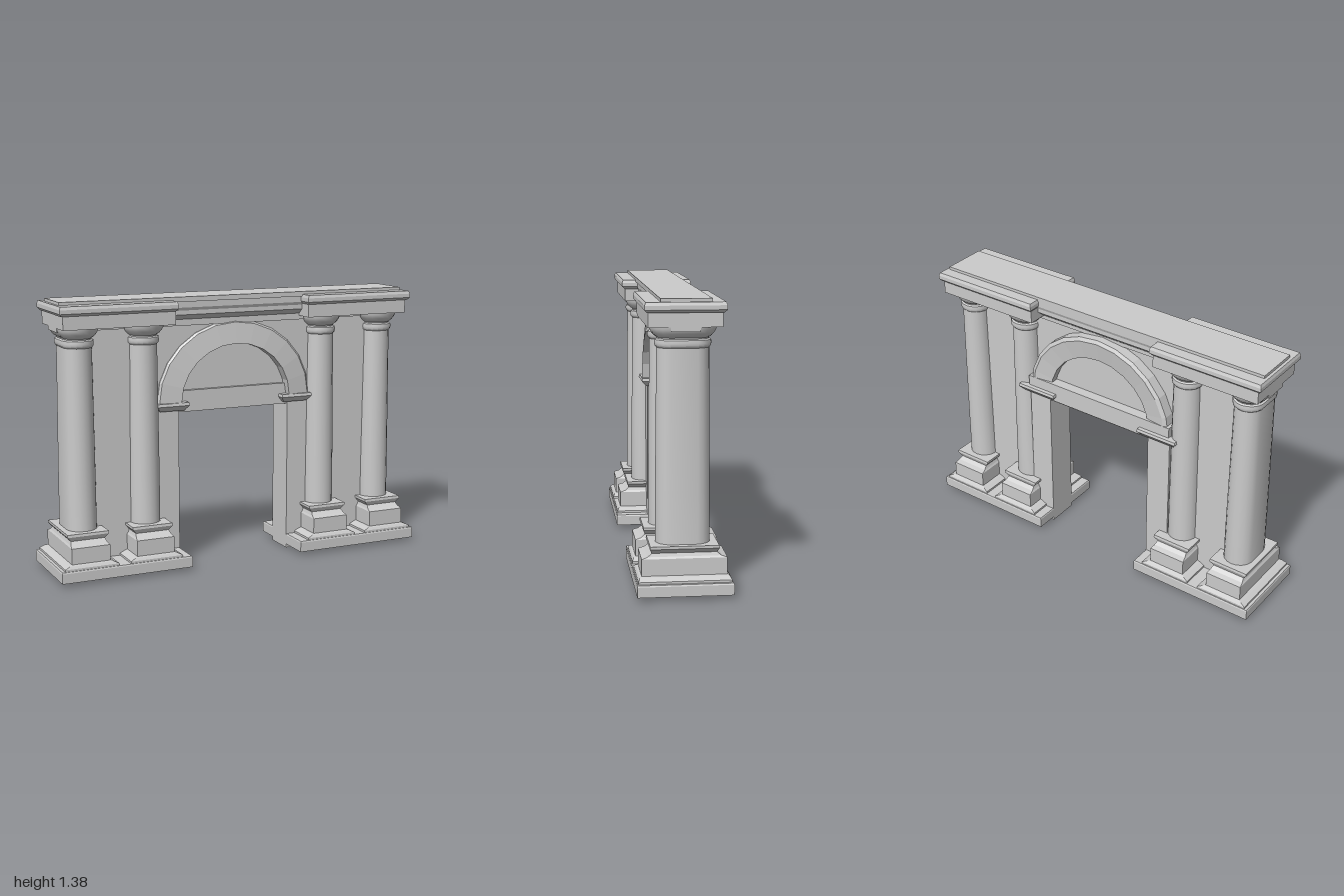
import * as THREE from 'three';
import { mergeGeometries, toCreasedNormals } from 'three/addons/utils/BufferGeometryUtils.js';

const material = new THREE.MeshStandardMaterial({ color: 0xcccccc });
const flatMaterial = new THREE.MeshStandardMaterial({ color: 0xcccccc, flatShading: true });

// Stack of rectangular tiers; each level is [y, half width, half depth].
function tiers(levels) {
  const parts = [];
  for (let i = 0; i + 1 < levels.length; i++) {
    const [y0, w0, d0] = levels[i];
    const [y1, w1, d1] = levels[i + 1];
    const g = new THREE.BoxGeometry(2, 1, 2);
    const p = g.attributes.position;
    for (let k = 0; k < p.count; k++) {
      const top = p.getY(k) > 0;
      p.setXYZ(k, p.getX(k) * (top ? w1 : w0), top ? y1 : y0, p.getZ(k) * (top ? d1 : d0));
    }
    parts.push(g.toNonIndexed());
  }
  const merged = mergeGeometries(parts);
  merged.computeVertexNormals();
  return merged;
}

// Turned profile stretched in depth, giving flat sides and round front and back.
function stretchedLathe(profile, stretch) {
  const g = new THREE.LatheGeometry(profile.map(([r, y]) => new THREE.Vector2(r, y)), 18);
  const p = g.attributes.position;
  for (let k = 0; k < p.count; k++) p.setZ(k, p.getZ(k) + Math.sign(p.getZ(k)) * stretch);
  return toCreasedNormals(g, 0.6);
}

export function createModel() {
  const model = new THREE.Group();
  const add = (name, geometry, x = 0, y = 0, z = 0, mat = material) => {
    const mesh = new THREE.Mesh(geometry, mat);
    mesh.name = name;
    mesh.position.set(x, y, z);
    model.add(mesh);
  };
  const box = (name, x0, x1, y0, y1, z0, z1) =>
    add(name, new THREE.BoxGeometry(x1 - x0, y1 - y0, z1 - z0), (x0 + x1) / 2, (y0 + y1) / 2, (z0 + z1) / 2);

  const springY = 0.845, archRise = 0.94;

  // Thin wall with an arched opening, wider below where the jambs stand
  const wall = new THREE.Shape();
  wall.moveTo(-0.85, 0.05);
  wall.lineTo(-0.44, 0.05);
  wall.lineTo(-0.44, 0.8);
  wall.lineTo(-0.31, 0.8);
  wall.lineTo(-0.31, springY);
  wall.absellipse(0, springY, 0.31, 0.31 * archRise, Math.PI, 0, true);
  wall.lineTo(0.31, 0.8);
  wall.lineTo(0.44, 0.8);
  wall.lineTo(0.44, 0.05);
  wall.lineTo(0.85, 0.05);
  wall.lineTo(0.85, 1.27);
  wall.lineTo(-0.85, 1.27);
  wall.closePath();
  add('wall', new THREE.ExtrudeGeometry(wall, { depth: 0.11, bevelEnabled: false, curveSegments: 12 }), 0, 0, -0.055);

  // Door lintel and recessed panel under the arch
  box('doorLintel', -0.312, 0.312, 0.79, 0.9, -0.11, 0.045);
  box('lintelBackBand', -0.44, 0.44, 0.8, 0.9, -0.12, -0.05);
  const panel = new THREE.Shape();
  panel.absellipse(0, springY, 0.312, 0.312 * archRise, 0, Math.PI, false);
  add('archPanel', new THREE.ExtrudeGeometry(panel, { depth: 0.09, bevelEnabled: false }), 0, 0, -0.065);

  // Ring of arch stones, proud on both faces
  const ringProfile = [[0.305, -0.105], [0.41, -0.12], [0.43, -0.11], [0.43, 0.06], [0.42, 0.07], [0.305, 0.085], [0.305, -0.105]];
  const ring = new THREE.LatheGeometry(ringProfile.map(([r, h]) => new THREE.Vector2(r, h)), 12, Math.PI / 2, Math.PI);
  ring.rotateX(Math.PI / 2);
  ring.scale(1, archRise, 1);
  add('archRing', ring, 0, springY, 0, flatMaterial);

  // Central beam with a cove below, and the long top slab
  add('beamMoulding', tiers([
    [1.26, 0.38, 0.065], [1.293, 0.38, 0.105], [1.315, 0.38, 0.105], [1.33, 0.38, 0.112], [1.365, 0.38, 0.112],
  ]), 0, 0, -0.008);
  box('beamCore', -0.95, 0.95, 1.235, 1.28, -0.068, 0.066);
  box('topSlab', -0.95, 0.95, 1.36, 1.385, -0.122, 0.113);

  const shaftGeometry = stretchedLathe([[0.079, 0.24], [0.078, 0.5], [0.072, 1.165]], 0.05);
  const capitalGeometry = stretchedLathe([
    [0.071, 1.155], [0.08, 1.165], [0.082, 1.178], [0.08, 1.192], [0.07, 1.197], [0.071, 1.203],
    [0.083, 1.211], [0.095, 1.224], [0.105, 1.242], [0.107, 1.257],
  ], 0.05);
  const pedestalGeometry = tiers([
    [0.075, 0.14, 0.218], [0.088, 0.14, 0.218], [0.1, 0.115, 0.21], [0.105, 0.1, 0.2],
    [0.185, 0.1, 0.2], [0.194, 0.094, 0.172], [0.21, 0.088, 0.152], [0.232, 0.107, 0.162], [0.245, 0.107, 0.16],
  ]);
  const baseGeometry = tiers([[0.02, 0.345, 0.225], [0.07, 0.345, 0.225], [0.077, 0.342, 0.222]]);
  const blockGeometry = tiers([[1.255, 0.29, 0.17], [1.328, 0.29, 0.17]]);
  const corniceGeometry = tiers([[1.322, 0.295, 0.174], [1.335, 0.305, 0.187], [1.355, 0.305, 0.187], [1.37, 0.3, 0.181]]);
  const impost = (halfWidth, halfDepth) => tiers([
    [0.802, halfWidth - 0.022, halfDepth - 0.025], [0.83, halfWidth, halfDepth], [0.845, halfWidth - 0.003, halfDepth - 0.003],
  ]);
  const frontImpost = impost(0.088, 0.06), backImpost = impost(0.115, 0.06);

  // Each side: jamb, base, a pair of columns on pedestals, and the entablature above
  for (const [side, s] of [['left', 1], ['right', -1]]) {
    box(side + 'Jamb', s * 0.375 - 0.065, s * 0.375 + 0.065, 0, 0.805, -0.11, 0.055);
    add(side + 'Base', baseGeometry, s * 0.655);
    add(side + 'EntablatureBlock', blockGeometry, s * 0.66);
    add(side + 'Cornice', corniceGeometry, s * 0.665);
    add(side + 'FrontImpost', frontImpost, s * 0.35, 0, 0.03);
    add(side + 'BackImpost', backImpost, s * 0.377, 0, -0.085);
    for (const [place, x] of [['Inner', 0.5], ['Outer', 0.842]]) {
      add(side + place + 'Pedestal', pedestalGeometry, s * x);
      add(side + place + 'Shaft', shaftGeometry, s * x);
      add(side + place + 'Capital', capitalGeometry, s * x);
    }
  }
  return model;
}
